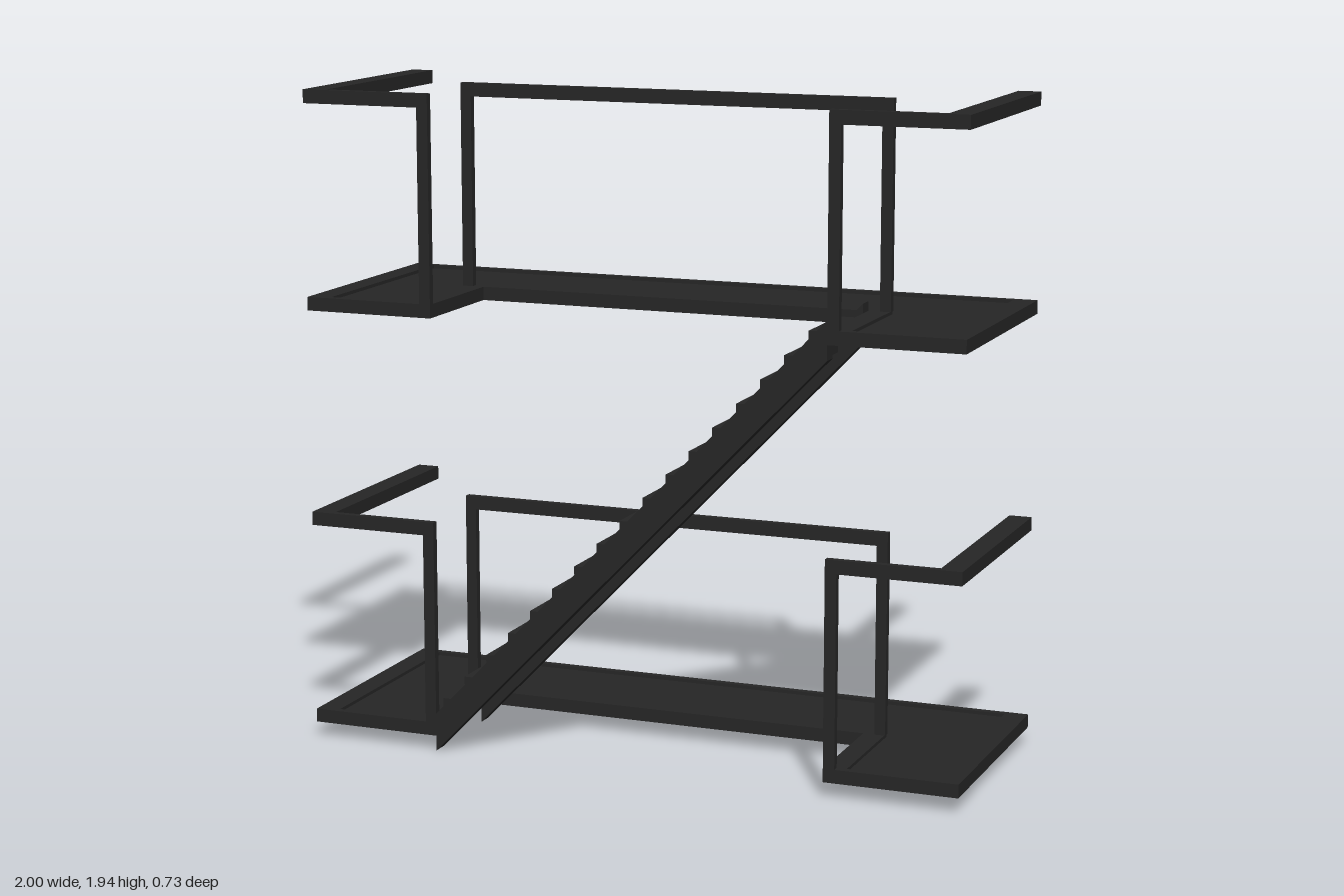
import * as THREE from 'three';

const iron = new THREE.MeshStandardMaterial({ color: 0x262626 });

// Box given by its limits on each axis
function bar(parent, name, [x0, x1], [y0, y1], [z0, z1]) {
  const mesh = new THREE.Mesh(new THREE.BoxGeometry(x1 - x0, y1 - y0, z1 - z0), iron);
  mesh.name = name;
  mesh.position.set((x0 + x1) / 2, (y0 + y1) / 2, (z0 + z1) / 2);
  parent.add(mesh);
}

// U-shaped outline in x and z, open towards the front
function uPoints(outerX, innerX, back, notch, front) {
  return [
    [-outerX, back], [outerX, back], [outerX, front], [innerX, front],
    [innerX, notch], [-innerX, notch], [-innerX, front], [-outerX, front],
  ].map(([x, z]) => new THREE.Vector2(x, z));
}

// Horizontal slab cut from a shape, with its top at y
function slab(parent, name, shape, top, depth) {
  const geometry = new THREE.ExtrudeGeometry(shape, { depth, bevelEnabled: false });
  geometry.rotateX(Math.PI / 2);
  const mesh = new THREE.Mesh(geometry, iron);
  mesh.name = name;
  mesh.position.y = top;
  parent.add(mesh);
}

// Landing with a rim, a recessed floor and its railing
function createLanding(base) {
  const landing = new THREE.Group();
  landing.name = 'landing';
  landing.position.y = base;

  const inner = uPoints(0.933, 0.667, -0.342, -0.022, 0.342);
  const rim = new THREE.Shape(uPoints(1, 0.603, -0.364, 0, 0.364));
  rim.holes.push(new THREE.Path(inner));
  slab(landing, 'landingRim', rim, 0.04, 0.04);
  slab(landing, 'landingFloor', new THREE.Shape(inner), 0.03, 0.02);

  const postY = [0.04, 0.606];
  const railY = [0.606, 0.646];
  const backZ = [-0.022, 0];
  const frontZ = [0.342, 0.364];
  bar(landing, 'stairwellRail', [-0.67, 0.67], railY, backZ);
  for (const side of [-1, 1]) {
    const span = (a, b) => (side > 0 ? [a, b] : [-b, -a]);
    bar(landing, 'backPost', span(0.637, 0.67), postY, backZ);
    bar(landing, 'frontPost', span(0.603, 0.637), postY, frontZ);
    bar(landing, 'frontRail', span(0.603, 0.933), railY, frontZ);
    bar(landing, 'sideRail', span(0.933, 1), railY, [-0.352, 0.364]);
  }
  return landing;
}

// Straight flight: two sloping stringers with open treads between
function createStairs() {
  const stairs = new THREE.Group();
  stairs.name = 'stairs';

  const profile = new THREE.Shape([
    new THREE.Vector2(-0.603, 0), new THREE.Vector2(0.603, 1.25),
    new THREE.Vector2(0.603, 1.363), new THREE.Vector2(-0.603, 0.113),
  ]);
  for (const z of [0.001, 0.314]) {
    const geometry = new THREE.ExtrudeGeometry(profile, { depth: 0.05, bevelEnabled: false });
    const stringer = new THREE.Mesh(geometry, iron);
    stringer.name = 'stringer';
    stringer.position.z = z;
    stairs.add(stringer);
  }

  const count = 17;
  const run = 1.206 / count;
  for (let i = 0; i < count; i++) {
    const x = -0.603 + i * run;
    const top = 0.147 + i * 0.0735;
    bar(stairs, 'tread', [x, x + run - 0.001], [top - 0.03, top], [0.053, 0.314]);
  }
  return stairs;
}

export function createModel() {
  const model = new THREE.Group();
  model.name = 'fireEscape';
  model.add(createLanding(0.045), createLanding(1.295), createStairs());
  return model;
}
